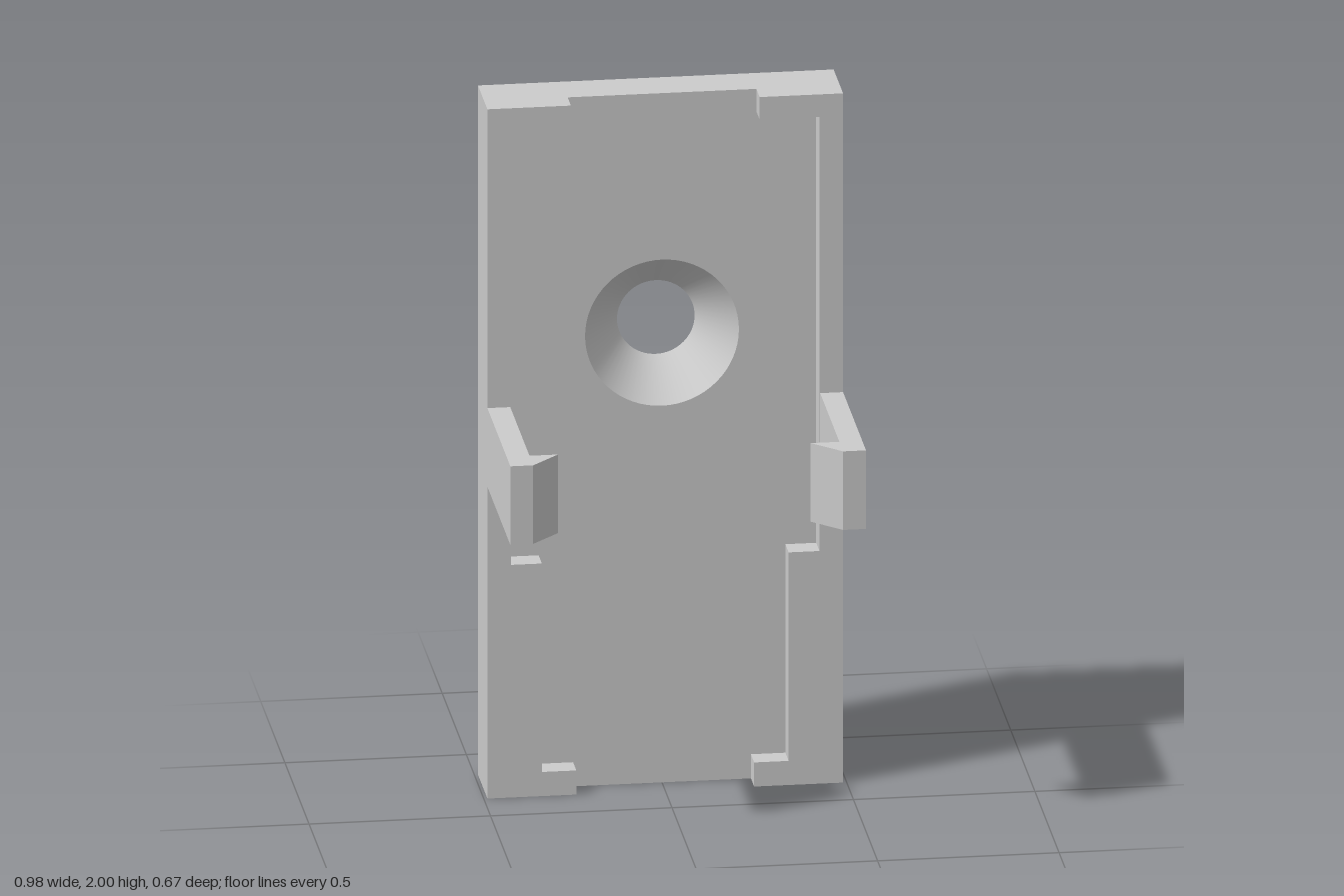
import * as THREE from 'three';

const W = 0.49, H = 2;                             // half width, height
const BACK = -0.335, FLOOR = -0.207, RIM = -0.14;  // depth levels of the plate
const HOLE = { y: 1.305, front: 0.212, back: 0.107 };

const grey = new THREE.MeshStandardMaterial({ color: 0xcccccc });
const greyInside = new THREE.MeshStandardMaterial({ color: 0xcccccc, side: THREE.BackSide });

function part(name, geometry, material = grey) {
  const mesh = new THREE.Mesh(geometry, material);
  mesh.name = name;
  return mesh;
}

// Shape from points, mirrored in x when side is -1
const outline = (points, side = 1) =>
  new THREE.Shape(points.map(([x, y]) => new THREE.Vector2(x * side, y)));

const extrude = (shape, depth) => new THREE.ExtrudeGeometry(shape, { depth, bevelEnabled: false });

// Plate face with a round opening
function plateFace(radius) {
  const shape = outline([[-W, 0], [W, 0], [W, H], [-W, H]]);
  shape.holes.push(new THREE.Path().absarc(0, HOLE.y, radius, 0, Math.PI * 2, true));
  return new THREE.ShapeGeometry(shape, 32);
}

function createPlate() {
  const plate = new THREE.Group();
  plate.name = 'backPlate';
  const depth = FLOOR - BACK, midZ = (FLOOR + BACK) / 2;

  plate.add(part('recessFloor', plateFace(HOLE.front).translate(0, 0, FLOOR)));
  plate.add(part('backFace', plateFace(HOLE.back).rotateY(Math.PI).translate(0, 0, BACK)));

  // Four outer edges
  for (const side of [1, -1]) {
    plate.add(part('sideEdge', new THREE.PlaneGeometry(depth, H)
      .rotateY(side * Math.PI / 2).translate(side * W, H / 2, midZ)));
    plate.add(part('endEdge', new THREE.PlaneGeometry(2 * W, depth)
      .rotateX(-side * Math.PI / 2).translate(0, side > 0 ? H : 0, midZ)));
  }

  // Conical wall of the countersunk hole
  const cone = new THREE.CylinderGeometry(HOLE.front, HOLE.back, depth, 64, 1, true)
    .rotateX(Math.PI / 2).translate(0, HOLE.y, midZ);
  plate.add(part('countersink', cone, greyInside));
  return plate;
}

// Raised stepped rim along one side, with short returns at top and bottom
function createRim(side) {
  const shape = outline([
    [W, 0], [W, H], [0.26, H], [0.26, 1.935], [0.425, 1.935],
    [0.425, 0.675], [0.34, 0.675], [0.34, 0.07], [0.245, 0.07], [0.245, 0],
  ], side);
  return part(side > 0 ? 'leftRim' : 'rightRim',
    extrude(shape, RIM - FLOOR).translate(0, 0, FLOOR));
}

// Forward arm ending in an inward barbed hook, drawn in plan as (x, -z)
function createClip(side) {
  const shape = outline([
    [W, -RIM], [0.427, -RIM], [0.427, -0.257], [0.348, -0.257], [0.427, -0.335], [W, -0.335],
  ], side);
  return part(side > 0 ? 'leftClip' : 'rightClip',
    extrude(shape, 0.228).rotateX(-Math.PI / 2).translate(0, 0.905, 0));
}

export function createModel() {
  const model = new THREE.Group();
  model.name = 'clipMount';
  model.add(createPlate());
  for (const side of [1, -1]) model.add(createRim(side), createClip(side));
  return model;
}
